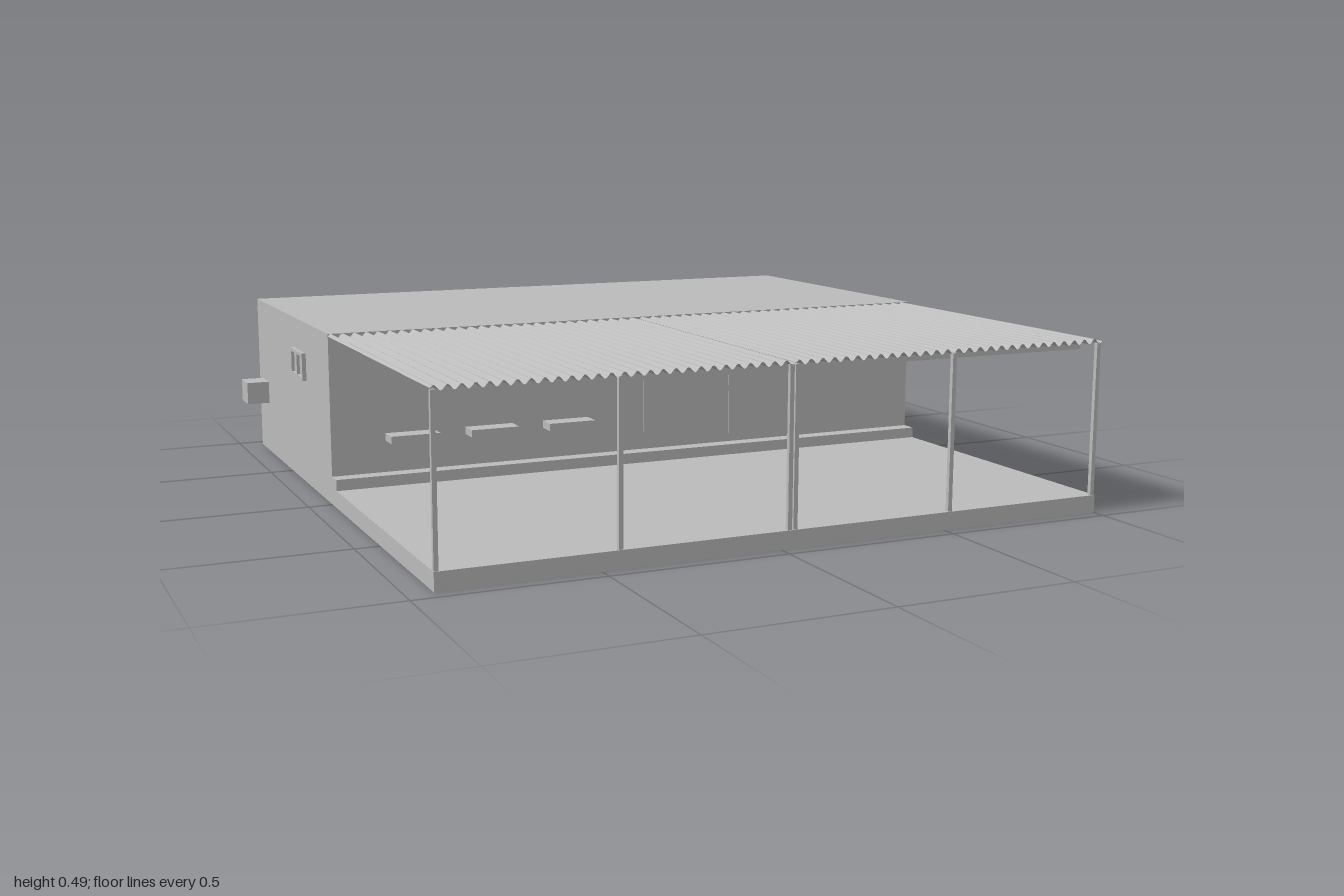
import * as THREE from 'three';

const X0 = -0.93, X1 = 1, XM = 0.035, ZB = -0.96, ZF = 0.96;
const TOP = 0.493, DECK = 0.05;

export function createModel() {
  const model = new THREE.Group();
  model.name = 'buildingWithCanopy';
  const grey = new THREE.MeshStandardMaterial({ color: 0xbbbbbb });
  grey.name = 'plain grey';
  grey.side = THREE.DoubleSide;

  const add = (name, geometry) => {
    const mesh = new THREE.Mesh(geometry, grey);
    mesh.name = name;
    model.add(mesh);
    return mesh;
  };
  // Box given by its limits on each axis
  const box = (name, x0, x1, y0, y1, z0, z1) =>
    add(name, new THREE.BoxGeometry(x1 - x0, y1 - y0, z1 - z0))
      .position.set((x0 + x1) / 2, (y0 + y1) / 2, (z0 + z1) / 2);
  // Upright sheet across x, or along z when turned
  const sheetX = (name, x0, x1, y0, y1, z) =>
    add(name, new THREE.PlaneGeometry(x1 - x0, y1 - y0))
      .position.set((x0 + x1) / 2, (y0 + y1) / 2, z);
  const sheetZ = (name, x, y0, y1, z0, z1) => {
    const m = add(name, new THREE.PlaneGeometry(z1 - z0, y1 - y0));
    m.rotation.y = Math.sign(x) * Math.PI / 2;
    m.position.set(x, (y0 + y1) / 2, (z0 + z1) / 2);
  };

  // Main block above floor level
  box('house', X0, X1, DECK, TOP, ZB, 0);

  // Terrace floor with hollow underside, and skirts down to the ground
  const deck = add('terraceFloor', new THREE.PlaneGeometry(X1 - X0, ZF));
  deck.rotation.x = -Math.PI / 2;
  deck.position.set((X0 + X1) / 2, DECK, ZF / 2);
  sheetX('frontSkirt', X0, X1, 0, DECK, ZF);
  sheetX('middleSkirt', X0, X1, 0, DECK, 0);
  for (const x of [X0, X1]) sheetZ('sideSkirt', x, 0, DECK, ZB, ZF);

  // Step along the front wall
  box('wallStep', X0, X1, DECK, 0.082, 0, 0.048);

  // Door panels and shelves on the front wall
  for (const [a, b] of [[0.045, 0.195], [0.34, 0.49]])
    box('door', a, b, 0.088, 0.405, 0, 0.003);
  for (const x of [-0.697, -0.455, -0.212])
    box('wallShelf', x - 0.073, x + 0.073, 0.174, 0.196, 0, 0.06);
  box('wallFixture', XM - 0.01, XM + 0.01, 0.33, 0.44, 0, 0.008);

  // Two canopy bays: corrugated sheet, posts and purlins
  const waves = 28, perWave = 8;
  for (const [a, b] of [[X0, XM - 0.003], [XM - 0.001, X1]]) {
    const roof = new THREE.PlaneGeometry(b - a, ZF, waves * perWave, 1);
    roof.rotateX(-Math.PI / 2);
    roof.translate((a + b) / 2, 0, ZF / 2);
    const p = roof.attributes.position;
    for (let i = 0; i < p.count; i++) {
      const t = (p.getX(i) - a) / (b - a);
      p.setY(i, TOP - 0.007 + 0.007 * Math.sin(t * waves * Math.PI * 2));
    }
    roof.computeVertexNormals();
    add('corrugatedRoof', roof);

    for (const x of [a + 0.007, (a + b) / 2, b - 0.007])
      box('canopyPost', x - 0.006, x + 0.006, DECK, 0.482, ZF - 0.015, ZF - 0.003);
    for (const z of [0.15, 0.39, 0.63, 0.87])
      sheetX('purlin', a, b, 0.452, 0.48, z);
  }

  // Framed two-pane window on the side wall
  const wx = X0 - 0.012;
  for (const z of [-0.43, -0.36, -0.29])
    box('windowUpright', wx, X0, 0.318, 0.4, z, z + 0.01);
  for (const y of [0.318, 0.39])
    box('windowRail', wx, X0, y, y + 0.01, -0.43, -0.28);
  box('windowGlass', X0 - 0.003, X0, 0.32, 0.398, -0.428, -0.282);

  // Service box on the side wall
  box('ventBox', -1, X0, 0.163, 0.233, -0.915, -0.825);

  return model;
}
